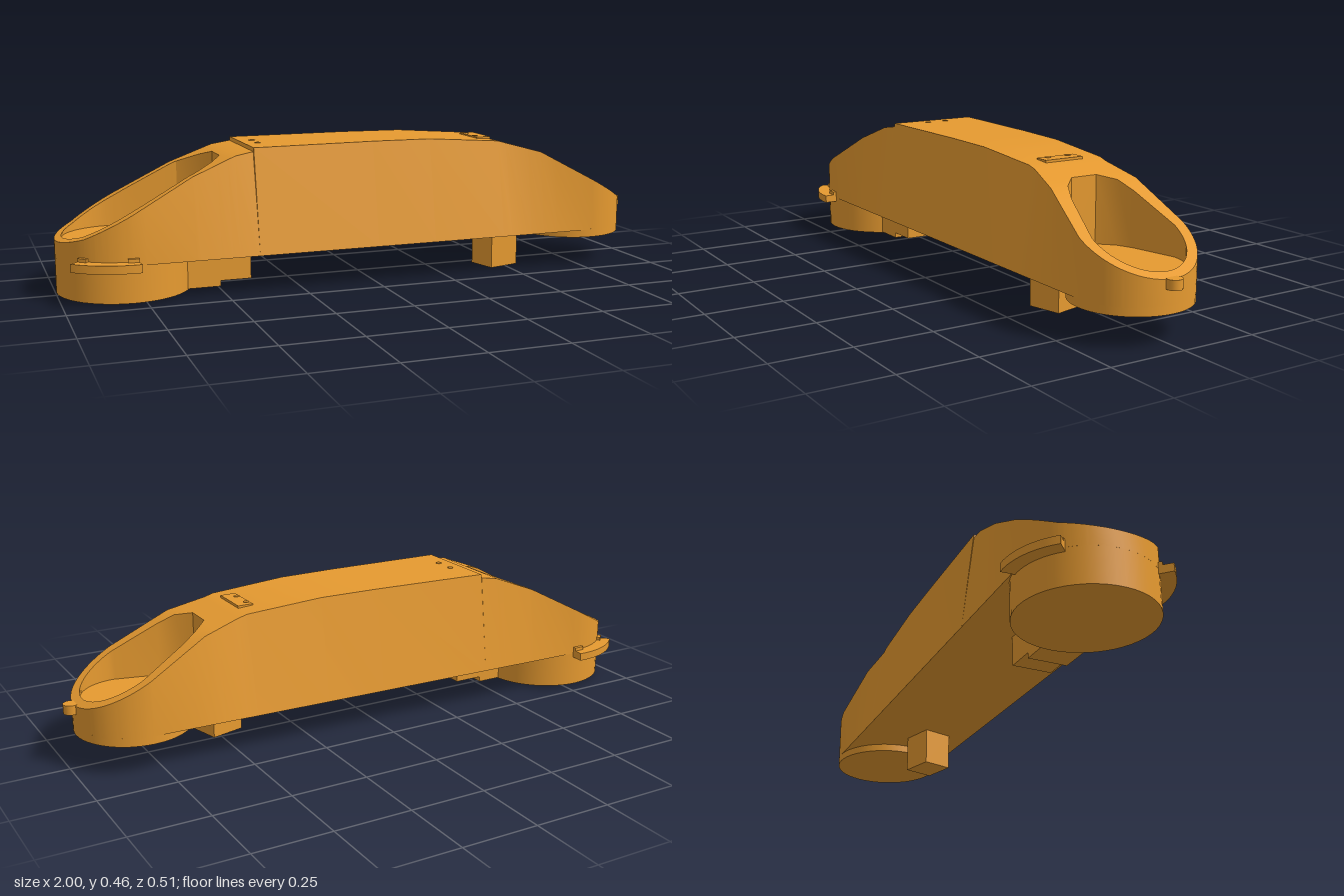
import * as THREE from 'three';
import { toCreasedNormals } from 'three/addons/utils/BufferGeometryUtils.js';

const material = new THREE.MeshStandardMaterial({ color: 0xe69a30 });

// The two round ends of the link
const LEFT = { x: -0.79, z: 0, r: 0.21 };
const RIGHT = { x: 0.785, z: 0.018, r: 0.184 };
const BOTTOM = 0.125;

// Piecewise-linear lookup in a list of [x, value]
function lookup(points, x) {
  if (x <= points[0][0]) return points[0][1];
  for (let i = 1; i < points.length; i++) {
    const [x0, v0] = points[i - 1], [x1, v1] = points[i];
    if (x <= x1) return v0 + (v1 - v0) * (x - x0) / (x1 - x0);
  }
  return points[points.length - 1][1];
}
const arc = (r, d) => Math.sqrt(Math.max(0, r * r - d * d));

// Height of the upper face, and plan outlines of its two edges
const topLine = [[-1, 0.18], [-0.93, 0.205], [-0.6, 0.38], [-0.46, 0.435], [-0.4, 0.445],
  [-0.398, 0.457], [0, 0.46], [0.2, 0.459], [0.45, 0.441], [0.6, 0.4], [0.969, 0.2]];
const backEdge = [[-0.79, -0.21], [-0.6, -0.18], [-0.4, -0.157], [0.48, -0.12], [0.6, -0.14], [0.785, -0.166]];
const frontEdge = [[-0.79, 0.21], [-0.6, 0.177], [-0.4, 0.147], [0.48, 0.142], [0.6, 0.168], [0.785, 0.202]];
// Half-widths of the wells toward the middle; outer parts are arcs
const wellWidth = [[-0.81, 0.168], [-0.75, 0.165], [-0.585, 0.14], [-0.52, 0.095], [-0.485, 0.05],
  [0.555, 0.045], [0.6, 0.09], [0.65, 0.112], [0.795, 0.147]];

function section(x) {
  let zb, zf, tb, tf;
  const end = x < LEFT.x ? LEFT : x > RIGHT.x ? RIGHT : null;
  if (end) {
    const h = arc(end.r, x - end.x);
    zb = tb = end.z - h;
    zf = tf = end.z + h;
  } else {
    zb = lookup([[LEFT.x, -0.21], [RIGHT.x, -0.166]], x);
    zf = lookup([[LEFT.x, 0.21], [RIGHT.x, 0.202]], x);
    tb = lookup(backEdge, x);
    tf = lookup(frontEdge, x);
  }
  const y = lookup(topLine, x);
  const mid = lookup([[-0.485, 0], [0.555, 0.018]], x);
  let w = lookup(wellWidth, x);
  if (x < -0.81) w = arc(0.168, x + 0.81);
  if (x > 0.795) w = arc(0.147, x - 0.795);
  const inLeft = x > -0.978 && x < -0.485, inRight = x > 0.555 && x < 0.942;
  const floor = inLeft ? 0.18 : inRight ? 0.2 : y;
  return [[BOTTOM, zb], [y, tb], [y, mid - w], [floor, mid - w],
    [floor, mid + w], [y, mid + w], [y, tf], [BOTTOM, zf]].map(p => [x, p[0], p[1]]);
}

// Hollow-ended body lofted along x
function bodyGeometry() {
  const e = 2e-4;
  const xs = [-0.485 - e, -0.485 + e, 0.555 - e, 0.555 + e];
  for (const list of [topLine, backEdge, frontEdge, wellWidth]) for (const p of list) xs.push(p[0]);
  for (let i = 0; i <= 14; i++) {
    const s = Math.sin(i / 14 * Math.PI / 2);
    xs.push(LEFT.x - LEFT.r * s, RIGHT.x + RIGHT.r * s, -0.81 - 0.168 * s, 0.795 + 0.147 * s);
  }
  const stations = [...new Set(xs)].sort((a, b) => a - b).map(section);
  const pos = [];
  const tri = (a, b, c) => {
    const va = new THREE.Vector3(...a), ab = new THREE.Vector3(...b).sub(va), ac = new THREE.Vector3(...c).sub(va);
    if (ab.cross(ac).length() > 1e-9) pos.push(...a, ...b, ...c);
  };
  for (let i = 0; i + 1 < stations.length; i++) {
    const s = stations[i], t = stations[i + 1], n = s.length;
    for (let j = 0; j < n; j++) {
      const k = (j + 1) % n;
      tri(s[j], s[k], t[k]);
      tri(s[j], t[k], t[j]);
    }
  }
  const g = new THREE.BufferGeometry();
  g.setAttribute('position', new THREE.Float32BufferAttribute(pos, 3));
  return toCreasedNormals(g, 0.4);
}

export function createModel() {
  const group = new THREE.Group();
  const add = (name, geometry, x = 0, y = 0, z = 0) => {
    const mesh = new THREE.Mesh(geometry, material);
    mesh.name = name;
    mesh.position.set(x, y, z);
    group.add(mesh);
    return mesh;
  };
  // Box from its limits
  const box = (name, x0, x1, y0, y1, z0, z1) => add(name,
    new THREE.BoxGeometry(x1 - x0, y1 - y0, z1 - z0), (x0 + x1) / 2, (y0 + y1) / 2, (z0 + z1) / 2);
  const disc = (name, r, y0, y1, x, z, sides = 48) => add(name,
    new THREE.CylinderGeometry(r, r, y1 - y0, sides), x, (y0 + y1) / 2, z);

  add('linkBody', bodyGeometry());

  // Joint discs under both ends
  disc('largeJointDisc', LEFT.r, 0.01, BOTTOM + 0.003, LEFT.x, LEFT.z);
  disc('smallJointDisc', RIGHT.r, 0.1, BOTTOM + 0.003, RIGHT.x, RIGHT.z);

  // Stepped connector beside the large disc
  box('connectorBase', -0.62, -0.5, 0.012, 0.13, -0.03, 0.1);
  box('connectorStep', -0.5, -0.4, 0.03, 0.13, -0.03, 0.1);

  // Turned block under the other end
  const block = box('undersideBlock', 0.426, 0.54, 0.002, 0.13, 0.014, 0.117);
  block.rotation.y = 0.26;

  // Curved side tabs with raised lips at their ends
  const sector = (name, a0, a1, r0, r1, y0, y1) => {
    const s = new THREE.Shape();
    s.absarc(0, 0, r1, a0, a1, false);
    s.absarc(0, 0, r0, a1, a0, true);
    const g = new THREE.ExtrudeGeometry(s, { depth: y1 - y0, bevelEnabled: false, curveSegments: 10 });
    g.rotateX(-Math.PI / 2);
    add(name, toCreasedNormals(g, 0.5), LEFT.x, y0, LEFT.z);
  };
  for (const side of [1, -1]) {
    const tab = (name, a, b, r0, r1, y0, y1) =>
      sector(name, side > 0 ? a : -b, side > 0 ? b : -a, r0, r1, y0, y1);
    tab('sideTab', 1.5, 2.38, 0.2, 0.254, 0.112, 0.138);
    tab('tabLip', 1.5, 1.66, 0.2, 0.222, 0.138, 0.149);
    tab('tabLip', 2.24, 2.38, 0.2, 0.222, 0.138, 0.149);
  }

  // Nose pin on the small end
  disc('nosePin', 0.024, 0.174, 0.204, 0.976, 0.022, 20);

  // Small top plate and screw heads
  box('topPlate', 0.4, 0.45, 0.435, 0.449, -0.053, 0.081);
  for (const [x, y, z] of [[-0.355, 0.458, -0.035], [-0.355, 0.458, 0.036], [0.41, 0.449, -0.025], [0.41, 0.449, 0.047]]) {
    disc('screwHead', 0.01, y - 0.01, y + 0.0015, x, z, 14);
  }
  return group;
}
